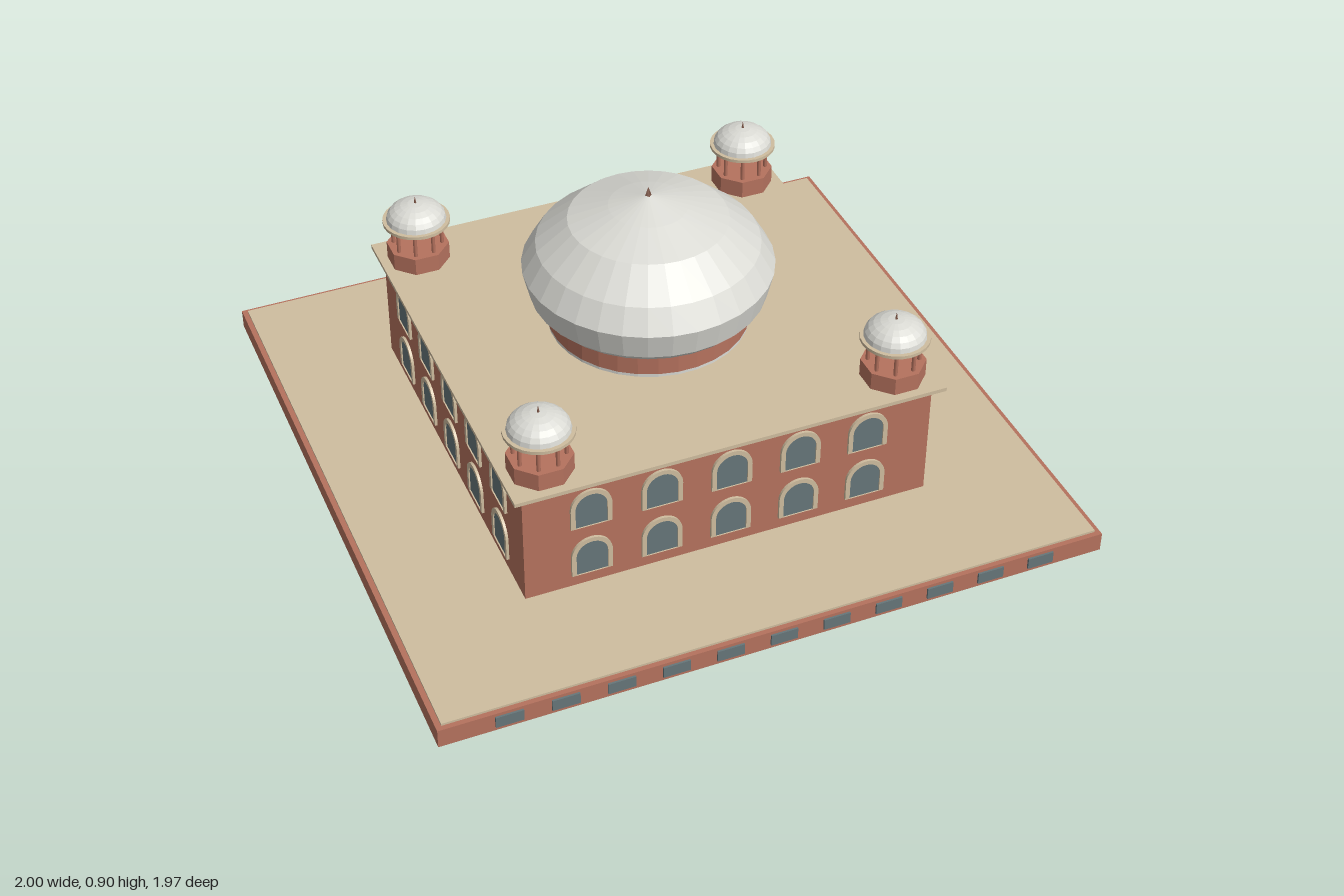
import * as THREE from 'three';

const mat = (name, color, extra = {}) => {
  const m = new THREE.MeshStandardMaterial({ color, ...extra });
  m.name = name;
  return m;
};

export function createModel() {
  const brick = mat('brick', 0xb5725e);
  const brickFacet = brick;
  const sand = mat('sandstone', 0xcfbd9f);
  const marble = mat('marble', 0xdadad4, { flatShading: true });
  const glass = mat('glass', 0x66767a);
  const bronze = mat('bronze', 0x7d5646);

  const model = new THREE.Group();
  model.name = 'domedBuilding';

  const add = (parent, name, geo, material, x = 0, y = 0, z = 0) => {
    const mesh = new THREE.Mesh(geo, material);
    mesh.name = name;
    mesh.position.set(x, y, z);
    parent.add(mesh);
    return mesh;
  };
  // Box standing on y0 and reaching y1
  const slab = (name, w, d, y0, y1, material) =>
    add(model, name, new THREE.BoxGeometry(w, y1 - y0, d), material, 0, (y0 + y1) / 2, 0);
  // Faceted drum, prism or cone with a face turned to the front
  const prism = (r, h, sides) =>
    new THREE.CylinderGeometry(r, r, h, sides, 1, false, Math.PI / sides).toNonIndexed();
  const faceted = (geo) => { geo.computeVertexNormals(); return geo; };

  // Terrace and main block
  slab('plinth', 2, 1.956, 0, 0.06, brick);
  slab('terracePaving', 1.968, 1.926, 0.06, 0.067, sand);
  slab('mainBlock', 1.236, 1.214, 0.067, 0.44, brick);
  slab('roofSlab', 1.296, 1.276, 0.44, 0.452, sand);

  // Panels along the front and back of the plinth
  for (const side of [-1, 1]) {
    for (let i = -5; i <= 5; i++) {
      add(model, 'plinthPanel', new THREE.BoxGeometry(0.08, 0.036, 0.008), glass,
        i * 0.16, 0.032, side * 0.98);
    }
  }

  // Arched windows: sandstone surround with a glass pane inside
  const arch = (path, r, straight) => {
    path.moveTo(-r, 0);
    path.lineTo(r, 0);
    path.lineTo(r, straight);
    path.absarc(0, straight, r, 0, Math.PI, false);
    path.lineTo(-r, 0);
    return path;
  };
  const plate = (shape, depth) =>
    new THREE.ExtrudeGeometry(shape, { depth, bevelEnabled: false, curveSegments: 10 });
  const surround = arch(new THREE.Shape(), 0.061, 0.066);
  const paneShape = arch(new THREE.Shape(), 0.047, 0.066);
  surround.holes.push(arch(new THREE.Path(), 0.047, 0.066));
  const frameGeo = plate(surround, 0.008);
  const paneGeo = plate(paneShape, 0.004);

  for (let s = 0; s < 4; s++) {
    const wall = new THREE.Group();
    wall.name = 'windowWall';
    wall.rotation.y = s * Math.PI / 2;
    const z = s % 2 ? 0.618 : 0.607;
    for (const y of [0.107, 0.28]) {
      for (let i = -2; i <= 2; i++) {
        add(wall, 'windowFrame', frameGeo, sand, i * 0.21, y, z);
        add(wall, 'windowPane', paneGeo, glass, i * 0.21, y, z);
      }
    }
    model.add(wall);
  }

  // Central drum and dome
  add(model, 'drumBase', prism(0.296, 0.01, 32), marble, 0, 0.457, 0);
  add(model, 'drum', faceted(prism(0.297, 0.075, 32)), brickFacet, 0, 0.4995, 0);
  const profile = [[0, 0.534], [0.318, 0.534], [0.347, 0.563], [0.367, 0.648], [0.325, 0.72],
    [0.232, 0.80], [0.115, 0.842], [0, 0.876]].map(([r, y]) => new THREE.Vector2(r, y));
  add(model, 'mainDome', new THREE.LatheGeometry(profile, 32), marble);
  add(model, 'domeFinial', new THREE.ConeGeometry(0.014, 0.04, 4), bronze, 0, 0.882, 0);

  // Corner pavilions
  const baseGeo = faceted(prism(0.094, 0.055, 8));
  const columnGeo = new THREE.CylinderGeometry(0.006, 0.006, 0.085, 6);
  const eaveGeo = new THREE.CylinderGeometry(0.101, 0.101, 0.01, 24);
  const cupolaGeo = new THREE.SphereGeometry(0.09, 20, 6, 0, Math.PI * 2, 0, Math.PI / 2);
  cupolaGeo.scale(1, 0.62, 1);
  const tipGeo = new THREE.ConeGeometry(0.005, 0.03, 6);
  for (const sx of [-1, 1]) {
    for (const sz of [-1, 1]) {
      const pavilion = new THREE.Group();
      pavilion.name = 'cornerPavilion';
      pavilion.position.set(sx * 0.533, 0.452, sz * 0.525);
      add(pavilion, 'pavilionBase', baseGeo, brickFacet, 0, 0.0275, 0);
      for (let i = 0; i < 8; i++) {
        const a = (i + 0.5) * Math.PI / 4;
        add(pavilion, 'pavilionColumn', columnGeo, brick,
          0.073 * Math.cos(a), 0.0925, 0.073 * Math.sin(a));
      }
      add(pavilion, 'pavilionEave', eaveGeo, sand, 0, 0.138, 0);
      add(pavilion, 'pavilionCupola', cupolaGeo, marble, 0, 0.143, 0);
      add(pavilion, 'pavilionFinial', tipGeo, bronze, 0, 0.206, 0);
      model.add(pavilion);
    }
  }
  return model;
}
